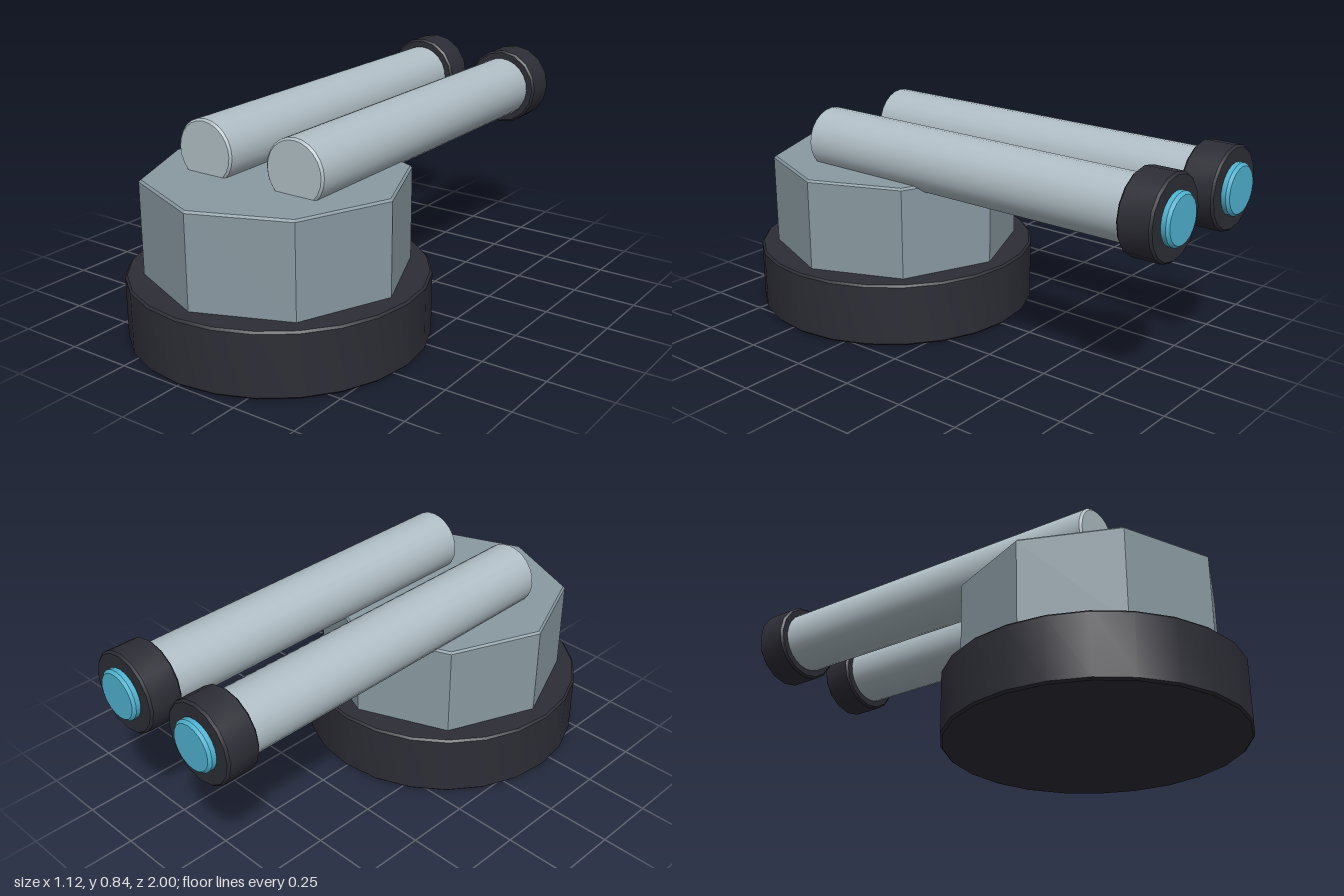
import * as THREE from 'three';
import { toCreasedNormals } from 'three/addons/utils/BufferGeometryUtils.js';

// Solid cylinder with small bevelled rims, standing on its lower end
function bevelledCylinder(radius, height, sides, bevel) {
  const profile = [
    [0, 0], [radius - bevel, 0], [radius, bevel],
    [radius, height - bevel], [radius - bevel, height], [0, height],
  ].map(([x, y]) => new THREE.Vector2(x, y));
  return toCreasedNormals(new THREE.LatheGeometry(profile, sides), 0.5);
}

function material(name, color) {
  const m = new THREE.MeshStandardMaterial({ color });
  m.name = name;
  return m;
}

export function createModel() {
  const dark = material('darkMetal', 0x2d2d36);
  const grey = material('turretGrey', 0x8a9aa2);
  const light = material('barrelGrey', 0xb0bec5);
  const blue = material('glowBlue', 0x4fb3d1);

  const model = new THREE.Group();
  model.name = 'twinTurret';

  function add(parent, name, geometry, mat, x, y, z) {
    const mesh = new THREE.Mesh(geometry, mat);
    mesh.name = name;
    mesh.position.set(x, y, z);
    parent.add(mesh);
    return mesh;
  }

  // Round base and octagonal housing
  const centreZ = 0.438;
  add(model, 'base', bevelledCylinder(0.558, 0.247, 24, 0.008), dark, 0, 0, centreZ);
  add(model, 'housing', bevelledCylinder(0.49, 0.375, 8, 0.008), grey, 0, 0.23, centreZ);

  // Twin guns pointing backwards, each with a collar and a glowing tip
  const barrel = bevelledCylinder(0.122, 1.46, 24, 0.008);
  const collar = bevelledCylinder(0.156, 0.132, 16, 0.008);
  const tip = bevelledCylinder(0.096, 0.06, 20, 0.01);
  for (const [side, x] of [['left', 0.2], ['right', -0.2]]) {
    const gun = new THREE.Group();
    gun.name = side + 'Gun';
    gun.position.set(x, 0.685, 0.6);
    gun.rotation.x = -Math.PI / 2;
    add(gun, side + 'Barrel', barrel, light, 0, 0, 0);
    add(gun, side + 'Collar', collar, dark, 0, 1.44, 0);
    add(gun, side + 'Tip', tip, blue, 0, 1.54, 0);
    model.add(gun);
  }
  return model;
}
